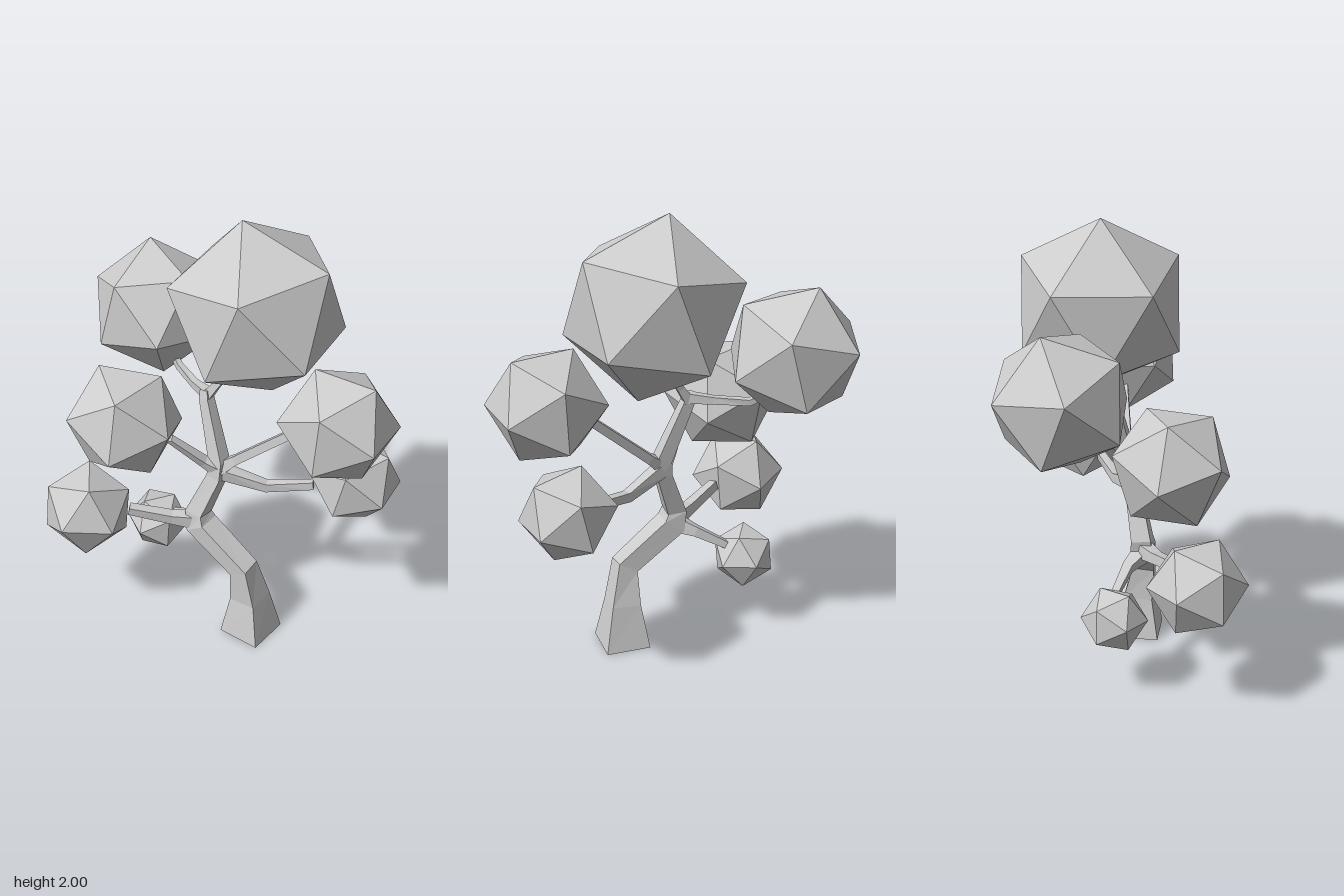
import * as THREE from 'three';

const gray = new THREE.MeshStandardMaterial({ color: 0xcccccc, flatShading: true });
gray.name = 'light grey';

const V = (p) => new THREE.Vector3(...p);

// Icosahedron turned so that two neighbouring corners point along a and b
function foliage(name, center, radius, a, b) {
  const p = V(a).normalize(), q = V(b).normalize();
  const x = p.clone().sub(q).normalize();
  const y = p.clone().add(q).normalize();
  const z = x.clone().cross(y);
  const mesh = new THREE.Mesh(new THREE.IcosahedronGeometry(radius, 0), gray);
  mesh.quaternion.setFromRotationMatrix(new THREE.Matrix4().makeBasis(x, y, z));
  mesh.position.set(...center);
  mesh.name = name;
  return mesh;
}

// Four-sided limb through points [x, y, z, half width]
function limb(name, points, startDirection) {
  const centers = points.map(([x, y, z]) => new THREE.Vector3(x, y, z));
  const last = points.length - 1;
  const positions = [], index = [];
  centers.forEach((c, k) => {
    const before = k > 0 ? c.clone().sub(centers[k - 1]).normalize() : new THREE.Vector3();
    const after = k < last ? centers[k + 1].clone().sub(c).normalize() : new THREE.Vector3();
    const t = k === 0 && startDirection ? V(startDirection) : before.add(after).normalize();
    const u = new THREE.Vector3(1, 0, 0).addScaledVector(t, -t.x).normalize();
    const v = t.clone().cross(u);
    const h = points[k][3];
    for (const [i, j] of [[1, 1], [-1, 1], [-1, -1], [1, -1]]) {
      positions.push(...c.clone().addScaledVector(u, i * h).addScaledVector(v, j * h).toArray());
    }
    if (k === last) return;
    for (let i = 0; i < 4; i++) {
      const a = k * 4 + i, b = k * 4 + (i + 1) % 4;
      index.push(a, b, b + 4, a, b + 4, a + 4);
    }
  });
  const e = last * 4;
  index.push(0, 2, 1, 0, 3, 2, e, e + 1, e + 2, e, e + 2, e + 3);
  const indexed = new THREE.BufferGeometry();
  indexed.setAttribute('position', new THREE.Float32BufferAttribute(positions, 3));
  indexed.setIndex(index);
  const geometry = indexed.toNonIndexed();
  geometry.computeVertexNormals();
  const mesh = new THREE.Mesh(geometry, gray);
  mesh.name = name;
  return mesh;
}

export function createModel() {
  const tree = new THREE.Group();
  tree.name = 'tree';

  // Trunk, bending back and then up to the crown
  tree.add(limb('trunk', [
    [0.02, 0, 0.19, 0.1], [0.015, 0.2, 0.185, 0.065], [-0.01, 0.37, 0.165, 0.048],
    [-0.03, 0.535, -0.06, 0.052], [-0.03, 0.6, -0.075, 0.043], [0.015, 0.8, -0.005, 0.034],
    [0.025, 0.88, 0, 0.034], [0.065, 1.15, -0.1, 0.024], [0.07, 1.19, -0.105, 0.02],
  ], [0, 1, 0]));

  // Branches
  const branches = {
    lowerRightBranch: [[-0.03, 0.55, -0.07, 0.035], [-0.1, 0.56, -0.17, 0.024], [-0.21, 0.6, -0.33, 0.02]],
    lowerBackBranch: [[-0.03, 0.53, -0.08, 0.035], [0.02, 0.5, -0.16, 0.022], [0.06, 0.43, -0.29, 0.016]],
    frontBranch: [[0.02, 0.84, 0, 0.03], [0.05, 0.9, 0.07, 0.02], [0.11, 1.15, 0.36, 0.018]],
    leftBranch: [[0.02, 0.83, 0, 0.03], [0.12, 0.77, 0.19, 0.021], [0.22, 0.8, 0.37, 0.018]],
    rightBranch: [[0.02, 0.84, 0, 0.03], [-0.02, 0.88, -0.05, 0.02], [-0.13, 1.02, -0.15, 0.015]],
    topBranch: [[0.07, 1.16, -0.1, 0.022], [0.08, 1.22, -0.06, 0.016], [0.1, 1.31, 0, 0.013]],
    upperBackBranch: [[0.07, 1.17, -0.1, 0.022], [0.11, 1.16, -0.2, 0.016], [0.18, 1.16, -0.34, 0.014], [0.2, 1.19, -0.39, 0.012]],
  };
  for (const [name, points] of Object.entries(branches)) tree.add(limb(name, points));

  // Foliage clumps: centre, radius, two neighbouring corner directions
  tree.add(
    foliage('topFoliage', [0.17, 1.615, 0.087], 0.393, [-0.016, 0.385, -0.073], [0.34, 0.195, 0.015]),
    foliage('upperBackFoliage', [0.236, 1.387, -0.508], 0.305, [0.062, 0.285, -0.084], [-0.046, 0.215, 0.224]),
    foliage('frontFoliage', [0.13, 1.24, 0.535], 0.258, [0.03, 0.212, 0.145], [-0.105, -0.01, 0.236]),
    foliage('leftFoliage', [0.332, 0.84, 0.51], 0.209, [-0.012, 0.198, -0.066], [0.175, 0.103, -0.007]),
    foliage('rightFoliage', [-0.188, 1.068, -0.352], 0.264, [-0.024, 0.018, 0.255], [-0.164, 0.2, 0.085]),
    foliage('lowerRightFoliage', [-0.313, 0.598, -0.488], 0.212, [0.09, 0.19, -0.055], [-0.08, 0.186, 0.09]),
    foliage('lowerBackFoliage', [0.05, 0.36, -0.378], 0.145, [1, 0, -0.05], [0.447, 0.83, 0.33]),
  );
  return tree;
}
